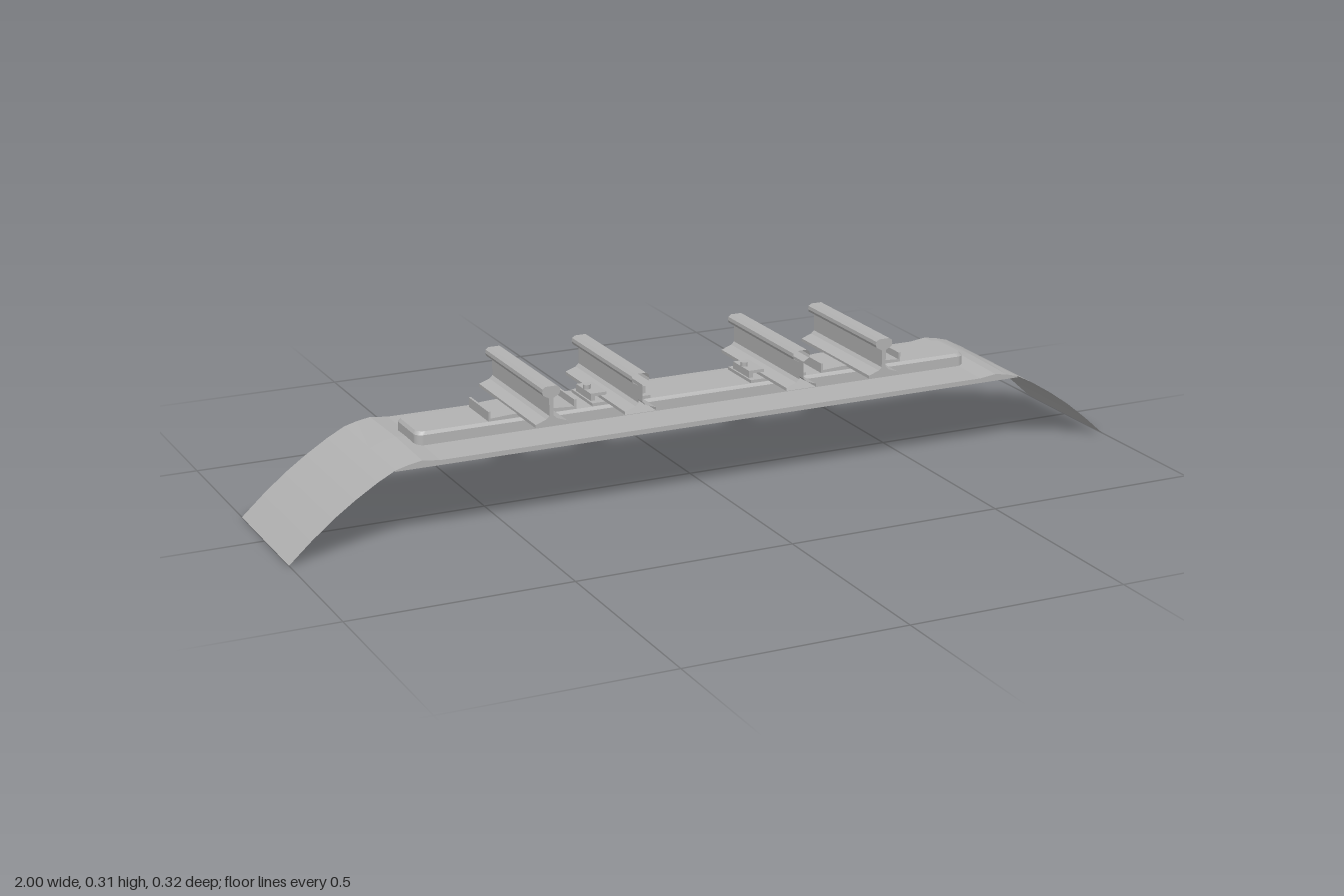
import * as THREE from 'three';

const steel = new THREE.MeshStandardMaterial({ color: 0xb2b2b2, side: THREE.DoubleSide });
steel.name = 'grey';
const HALF = 0.162; // half depth of the track section

// Flat-shaded surface joining successive rows of points
function loft(rows, closed = false) {
  const out = [];
  for (let r = 0; r < rows.length - 1; r++) {
    const a = rows[r], b = rows[r + 1];
    for (let i = 0; i < a.length - (closed ? 0 : 1); i++) {
      const j = (i + 1) % a.length;
      out.push(...a[i], ...a[j], ...b[j], ...a[i], ...b[j], ...b[i]);
    }
  }
  const g = new THREE.BufferGeometry();
  g.setAttribute('position', new THREE.Float32BufferAttribute(out, 3));
  g.computeVertexNormals();
  return g;
}

function add(parent, name, geometry, x = 0, y = 0, z = 0) {
  const m = new THREE.Mesh(geometry, steel);
  m.name = name;
  m.position.set(x, y, z);
  parent.add(m);
  return m;
}
const box = (parent, name, w, h, d, x, y, z = 0) =>
  add(parent, name, new THREE.BoxGeometry(w, h, d), x, y, z);

// Rounded rectangle in the ground plane
function roundedRect(hx, hz, r) {
  const s = new THREE.Shape();
  s.absarc(hx - r, hz - r, r, 0, Math.PI / 2);
  s.absarc(-hx + r, hz - r, r, Math.PI / 2, Math.PI);
  s.absarc(-hx + r, -hz + r, r, Math.PI, Math.PI * 1.5);
  s.absarc(hx - r, -hz + r, r, Math.PI * 1.5, Math.PI * 2);
  return s;
}

// Ballast: thin crowned sheet with drooping ends and a flat underside
function ballast() {
  const g = new THREE.Group();
  g.name = 'ballast';
  const half = [[1, 0], [0.95, 0.045], [0.9, 0.086], [0.85, 0.121], [0.8, 0.152],
    [0.76, 0.173], [0.73, 0.185], [0.7, 0.19], [0.66, 0.185]];
  const line = [...half.map(([x, y]) => [-x, y]), ...half.slice().reverse()];
  const row = (z, drop) => line.map(([x, y]) => [x, y - (Math.abs(x) < 0.755 ? drop : 0), z]);
  add(g, 'ballastTop', loft([row(HALF, 0.004), row(0, 0), row(-HALF, 0.004)]));
  const inner = line.filter(([x]) => Math.abs(x) < 0.77);
  const low = z => inner.map(([x]) => [x, 0.17, z]);
  add(g, 'ballastBottom', loft([low(-HALF), low(HALF)]));
  for (const s of [-1, 1]) {
    const top = inner.map(([x, y]) => [x, y - (Math.abs(x) < 0.755 ? 0.004 : 0), s * HALF]);
    add(g, 'ballastSide', loft(s > 0 ? [low(HALF), top] : [top, low(-HALF)]));
  }
  return g;
}

// Sleeper: hollow trough, open below, with a chamfered top
function sleeper() {
  const g = new THREE.Group();
  g.name = 'sleeper';
  const ring = (y, inset) => roundedRect(0.677 - inset, 0.064 - inset, 0.018)
    .getPoints(5).map(p => [p.x, y, -p.y]);
  add(g, 'sleeperWalls', loft([ring(0.15, 0), ring(0.206, 0.001), ring(0.213, 0.006)], true));
  const cap = new THREE.ShapeGeometry(roundedRect(0.671, 0.058, 0.018), 5);
  add(g, 'sleeperTop', cap.rotateX(-Math.PI / 2), 0, 0.213);
  return g;
}

// Rail cross-section: foot, web and head
const side = [[0.037, 0.22], [0.037, 0.227], [0.012, 0.236], [0.005, 0.243], [0.005, 0.282],
  [0.019, 0.29], [0.021, 0.296], [0.02, 0.304], [0.013, 0.309]];
const profile = [...side, ...side.slice().reverse().map(([x, y]) => [-x, y])];

function rail(name, x, capped) {
  const g = new THREE.Group();
  g.name = name;
  g.position.x = x;
  const row = z => profile.map(([px, py]) => [px, py, z]);
  add(g, 'railBody', loft([row(HALF), row(-HALF)], true));
  if (capped) {
    const end = new THREE.ShapeGeometry(new THREE.Shape(profile.map(p => new THREE.Vector2(...p))));
    add(g, 'railEnd', end, 0, 0, HALF);
    add(g, 'railEnd', end, 0, 0, -HALF).rotation.y = Math.PI;
  }
  return g;
}

// Wide plate with upturned ends under each running rail
function basePlate(x) {
  const g = new THREE.Group();
  g.name = 'basePlate';
  g.position.x = x;
  const s = new THREE.Shape([[-0.103, 0.212], [0.103, 0.212], [0.103, 0.235], [0.098, 0.235],
    [0.098, 0.219], [0.05, 0.222], [-0.05, 0.222], [-0.098, 0.219], [-0.098, 0.235],
    [-0.103, 0.235]].map(p => new THREE.Vector2(...p)));
  add(g, 'plate', new THREE.ExtrudeGeometry(s, { depth: 0.114, bevelEnabled: false }), 0, 0, -0.057);
  return g;
}

// Small plate with bolted clips under each inner rail
function clipPlate(x) {
  const g = new THREE.Group();
  g.name = 'clipPlate';
  g.position.x = x;
  box(g, 'plate', 0.14, 0.008, 0.114, 0, 0.216);
  for (const s of [-1, 1]) {
    box(g, 'clip', 0.038, 0.007, 0.08, s * 0.047, 0.233);
    box(g, 'clipFoot', 0.01, 0.012, 0.08, s * 0.061, 0.225);
    add(g, 'bolt', new THREE.CylinderGeometry(0.008, 0.008, 0.012, 10), s * 0.058, 0.24);
  }
  return g;
}

export function createModel() {
  const model = new THREE.Group();
  model.name = 'trackSection';
  model.add(ballast(), sleeper());
  for (const s of [-1, 1]) {
    model.add(rail('runningRail', s * 0.405, true), basePlate(s * 0.405));
    model.add(rail('innerRail', s * 0.196, false), clipPlate(s * 0.194));
  }
  return model;
}
